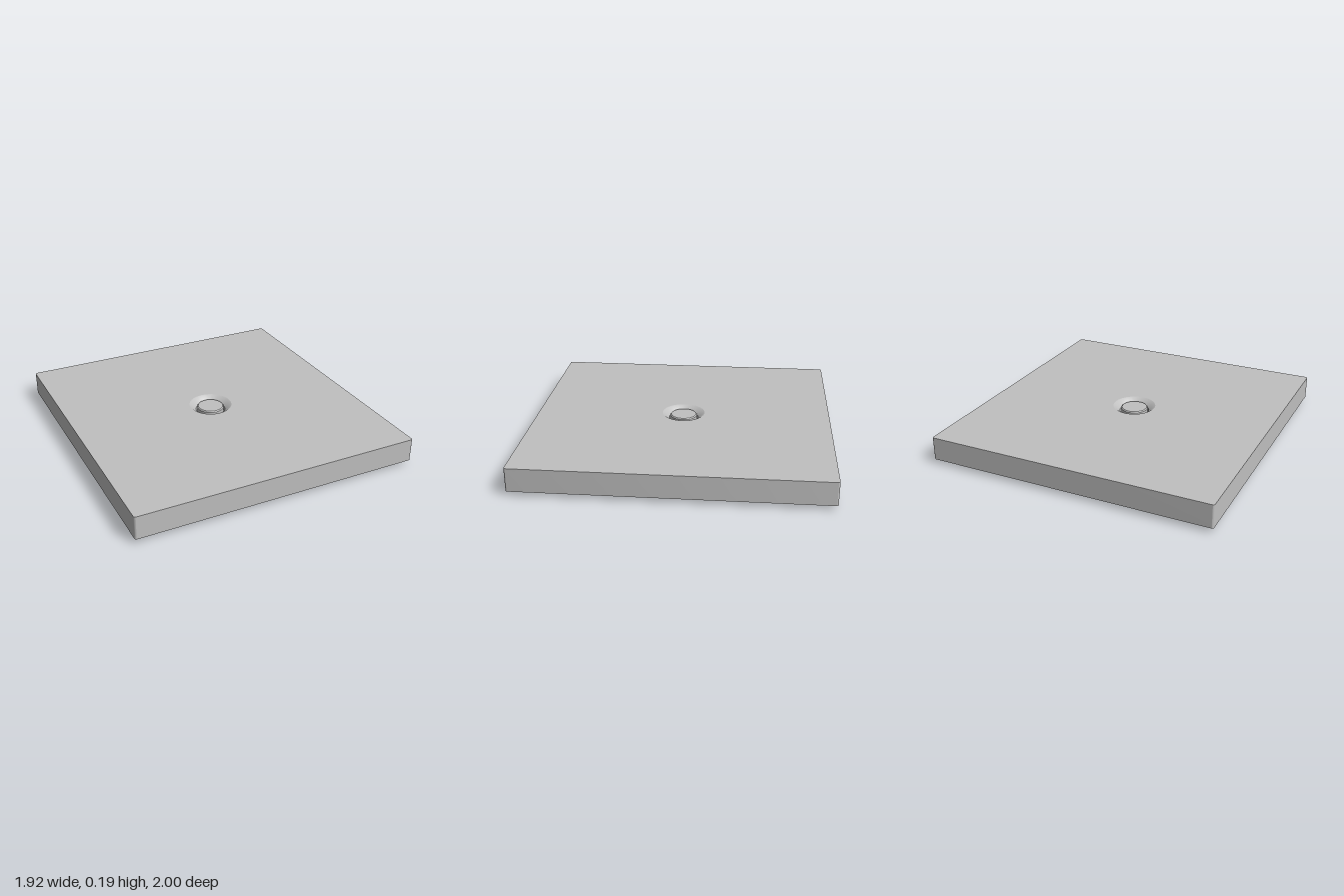
import * as THREE from 'three';
import { toCreasedNormals } from 'three/addons/utils/BufferGeometryUtils.js';

const grey = new THREE.MeshStandardMaterial({ color: 0xc0c0c0 });
grey.name = 'plain grey';

// Rectangle with slightly rounded corners, half sizes w and d
function roundedRect(w, d, r, Type = THREE.Shape) {
  const s = new Type();
  s.moveTo(w - r, -d);
  s.absarc(w - r, -d + r, r, -Math.PI / 2, 0);
  s.absarc(w - r, d - r, r, 0, Math.PI / 2);
  s.absarc(-w + r, d - r, r, Math.PI / 2, Math.PI);
  s.absarc(-w + r, -d + r, r, Math.PI, Math.PI * 1.5);
  s.closePath();
  return s;
}

function circle(r, Type = THREE.Path) {
  const s = new Type();
  s.absarc(0, 0, r, 0, Math.PI * 2);
  return s;
}

// Flat slab from height y0 to y1, with an optional hole
function slab(name, shape, hole, y0, y1) {
  if (hole) shape.holes.push(hole);
  const g = new THREE.ExtrudeGeometry(shape, { depth: y1 - y0, bevelEnabled: false, curveSegments: 32 });
  g.rotateX(-Math.PI / 2).translate(0, y0, 0);
  return part(name, toCreasedNormals(g, 0.5));
}

function turned(name, points) {
  const g = new THREE.LatheGeometry(points.map(([r, y]) => new THREE.Vector2(r, y)), 64);
  return part(name, toCreasedNormals(g, 0.6));
}

function part(name, geometry) {
  const m = new THREE.Mesh(geometry, grey);
  m.name = name;
  return m;
}

export function createModel() {
  const model = new THREE.Group();
  model.name = 'tray';

  // Top plate and the thin skirt below it
  model.add(slab('topPlate', roundedRect(0.96, 1, 0.012), circle(0.145), 0.17, 0.185));
  model.add(slab('skirt', roundedRect(0.96, 1, 0.012), roundedRect(0.948, 0.988, 0.006, THREE.Path), 0.03, 0.17));

  // Inner core, leaving a narrow gap inside the skirt
  model.add(slab('core', roundedRect(0.912, 0.95, 0.005), circle(0.69), 0.031, 0.17));

  // Underside recess with the hanging bowl of the drain
  const bowl = [];
  const R = 0.11;
  for (let i = 0; i <= 10; i++) {
    const a = (i / 10) * 1.1;
    bowl.push([R * Math.sin(a), R * (1 - Math.cos(a))]);
  }
  model.add(turned('undersideRecess', [
    ...bowl, [0.115, 0.07], [0.135, 0.077], [0.155, 0.075], [0.175, 0.07],
    [0.57, 0.07], [0.59, 0.067], [0.67, 0.035], [0.69, 0.031],
  ]));

  // Drain funnel and well in the top
  model.add(turned('drainFunnel', [
    [0.145, 0.185], [0.138, 0.182], [0.108, 0.158], [0.1, 0.15], [0.1, 0.115], [0, 0.115],
  ]));

  // Drain plug with a small bevel
  model.add(turned('drainPlug', [
    [0.092, 0.115], [0.092, 0.168], [0.085, 0.175], [0, 0.175],
  ]));

  // Two round pads under the front corners
  for (const side of [-1, 1]) {
    const pad = slab('roundPad', circle(0.078, THREE.Shape), circle(0.066), 0.027, 0.032);
    pad.position.set(side * 0.66, 0, 0.79);
    model.add(pad);
  }
  return model;
}
